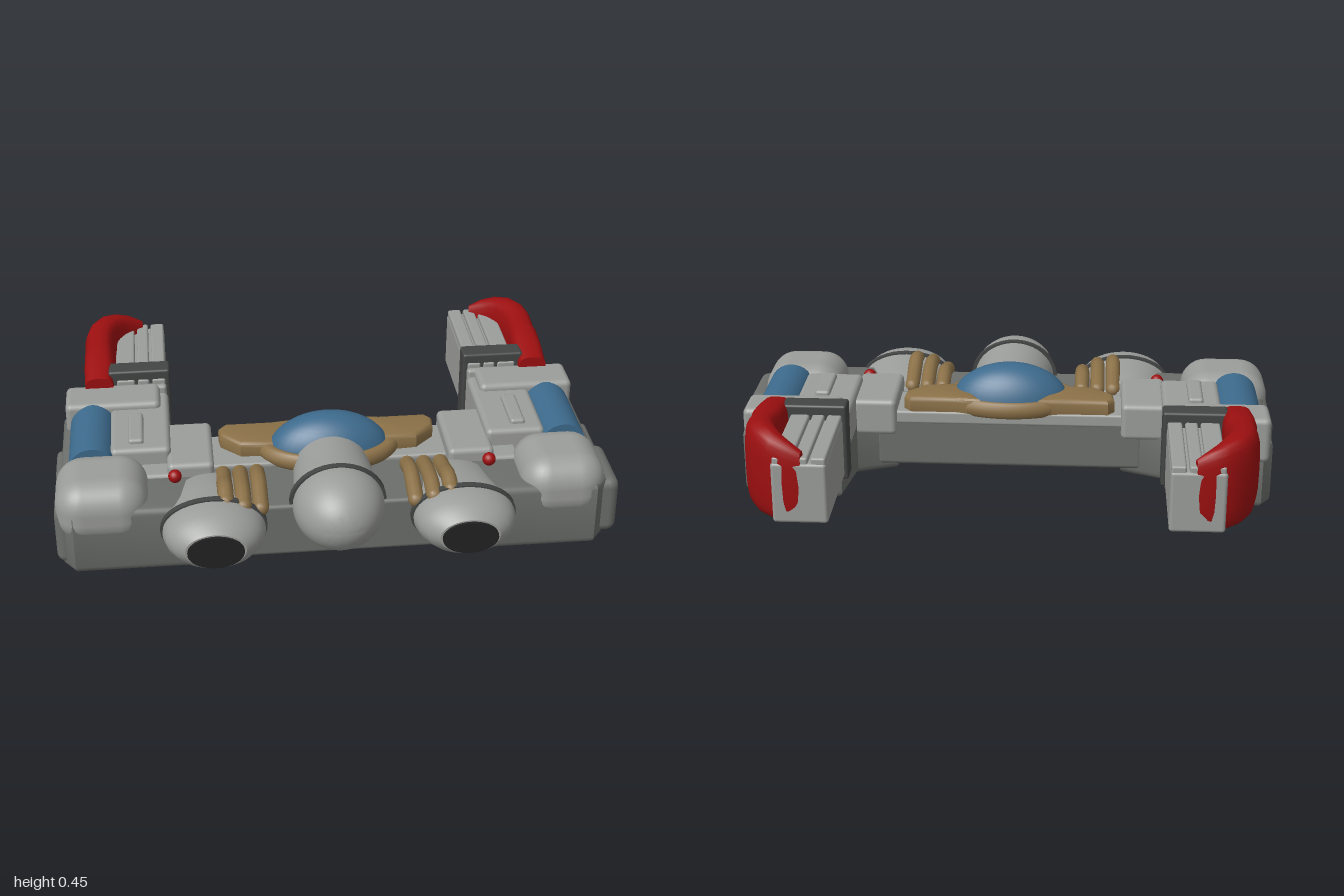
import * as THREE from 'three';
import { toCreasedNormals } from 'three/addons/utils/BufferGeometryUtils.js';
import { RoundedBoxGeometry } from 'three/addons/geometries/RoundedBoxGeometry.js';

const material = (name, color) => Object.assign(new THREE.MeshStandardMaterial({ color }), { name });
const lightGrey = material('light grey', 0x9b9d9a);
const darkGrey = material('dark grey', 0x6b6e6b);
const charcoal = material('charcoal', 0x434444);
const black = material('black', 0x222222);
const blue = material('blue', 0x3d6a8c);
const tan = material('tan', 0x8b7148);
const red = material('red', 0x9c0f10);

export function createModel() {
  const model = new THREE.Group();
  model.name = 'model';
  const root = new THREE.Group();
  root.name = 'body';
  root.position.x = -0.015;
  model.add(root);

  function add(name, geometry, mat, x = 0, y = 0, z = 0) {
    const mesh = new THREE.Mesh(geometry, mat);
    mesh.name = name;
    mesh.position.set(x, y, z);
    root.add(mesh);
    return mesh;
  }

  // Rounded box given by its limits; s mirrors it in x
  function box(name, mat, s, [x0, x1], [y0, y1], [z0, z1], r = 0.015) {
    const g = new RoundedBoxGeometry(x1 - x0, y1 - y0, z1 - z0, 4, r);
    return add(name, g, mat, s * (x0 + x1) / 2, (y0 + y1) / 2, (z0 + z1) / 2);
  }

  // Turned part along z from [radius, z] pairs
  function turned(name, mat, profile, x, y, flat = 1) {
    const g = new THREE.LatheGeometry(profile.map(p => new THREE.Vector2(...p)), 40);
    g.rotateX(Math.PI / 2).scale(1, flat, 1);
    return add(name, toCreasedNormals(g, 0.6), mat, x, y, 0);
  }

  // Bevelled slab from an x-z outline
  function slab(name, mat, s, outline, y0, y1, bevel) {
    const shape = new THREE.Shape(outline.map(([x, z]) => new THREE.Vector2(s * x, z)));
    const g = new THREE.ExtrudeGeometry(shape, {
      depth: y1 - y0 - 2 * bevel, bevelThickness: bevel, bevelSize: bevel,
      bevelOffset: -bevel, bevelSegments: 3,
    });
    g.rotateX(Math.PI / 2);
    return add(name, toCreasedNormals(g, 0.6), mat, 0, y1 - bevel, 0);
  }

  // Sweep of rounded sections along x-z, rows are [x, z, half width, bottom, top]
  function sweep(name, mat, s, rows) {
    const N = 24, pos = [], index = [];
    const soft = v => Math.sign(v) * Math.pow(Math.abs(v), 0.6);
    rows.forEach(([x, z, w, y0, y1], i) => {
      const a = rows[Math.max(i - 1, 0)], b = rows[Math.min(i + 1, rows.length - 1)];
      const t = new THREE.Vector2(s * (b[0] - a[0]), b[1] - a[1]).normalize();
      for (let j = 0; j < N; j++) {
        const q = j / N * Math.PI * 2, u = w * soft(Math.cos(q));
        pos.push(s * x - t.y * u, (y0 + y1) / 2 + (y1 - y0) / 2 * soft(Math.sin(q)), z + t.x * u);
      }
    });
    for (let i = 0; i < rows.length - 1; i++) {
      for (let j = 0; j < N; j++) {
        const a = i * N + j, b = i * N + (j + 1) % N;
        index.push(a, a + N, b, b, a + N, b + N);
      }
    }
    const last = (rows.length - 1) * N;
    for (let j = 1; j < N - 1; j++) {
      index.push(0, j, j + 1, last, last + j + 1, last + j);
    }
    const g = new THREE.BufferGeometry();
    g.setAttribute('position', new THREE.Float32BufferAttribute(pos, 3));
    g.setIndex(index);
    return add(name, toCreasedNormals(g, 0.8), mat);
  }

  // Central bar and its rear top plate
  box('centralBar', darkGrey, 1, [-0.5, 0.5], [0.03, 0.235], [0.03, 0.5]);
  box('rearTopPlate', lightGrey, 1, [-0.44, 0.44], [0.2, 0.25], [0.025, 0.235], 0.01);

  // Central capsule with ring
  const nose = [[0.135, 0.2], [0.14, 0.3], [0.15, 0.42], [0.16, 0.5]];
  for (let i = 1; i <= 12; i++) {
    const q = i / 12 * Math.PI / 2;
    nose.push([0.16 * Math.cos(q), 0.5 + 0.19 * Math.sin(q)]);
  }
  turned('centralCapsule', lightGrey, nose, 0, 0.23, 0.9);
  turned('capsuleRing', charcoal, [[0.15, 0.465], [0.17, 0.465], [0.17, 0.49], [0.15, 0.49]], 0, 0.23, 0.86);

  // Canopy dome and collar
  const dome = add('canopyDome', new THREE.SphereGeometry(1, 40, 24), blue, 0, 0.24, 0.16);
  dome.scale.set(0.225, 0.16, 0.125);
  const collar = add('canopyCollar', new THREE.TorusGeometry(0.225, 0.033, 12, 48).rotateX(Math.PI / 2), tan, 0, 0.265, 0.15);
  collar.scale.set(1, 1, 0.62);

  for (const s of [1, -1]) {
    // Collar wing
    slab('collarWing', tan, s, [[0.1, 0.02], [0.2, 0.03], [0.37, 0.03], [0.395, 0.06], [0.39, 0.11], [0.32, 0.18], [0.2, 0.19]], 0.23, 0.305, 0.018);

    // Side block with outer bumps
    slab('sideBlock', darkGrey, s, [[0.6, -0.22], [0.93, -0.22], [0.965, -0.17], [0.965, 0.44], [0.92, 0.5],
      [0.42, 0.5], [0.42, 0.06], [0.57, 0]], 0, 0.25, 0.025);
    box('outerBump', darkGrey, s, [0.85, s > 0 ? 1.013 : 0.985], [0.015, 0.235], [0.19, 0.46], 0.035);
    box('outerPanel', darkGrey, s, [0.85, 0.985], [0.03, 0.23], [0.03, 0.2], 0.02);

    // Shoulder pod and blue cylinder
    box('shoulderPod', lightGrey, s, [0.655, s > 0 ? 0.96 : 0.98], [0.1, 0.335], [0.195, 0.508], 0.1);
    const cyl = new THREE.CylinderGeometry(0.085, 0.085, 0.33, 32).rotateX(Math.PI / 2);
    add('blueCylinder', cyl, blue, s * 0.85, 0.262, 0.075);

    // Upper housings
    box('rearHousing', lightGrey, s, [0.6, 0.95], [0.18, 0.35], [-0.23, -0.07], 0.022);
    box('upperHousing', lightGrey, s, [0.57, 0.785], [0.18, 0.325], [-0.2, 0.22], 0.02);
    box('housingButton', lightGrey, s, [0.665, 0.72], [0.3, 0.342], [-0.02, 0.18], 0.012);
    box('innerHousing', lightGrey, s, [0.42, 0.585], [0.16, 0.3], [0, 0.3], 0.02);
    box('innerTread', lightGrey, s, [0.56, 0.68], [0.2, 0.262], [0.2, 0.3], 0.015);
    add('signalBall', new THREE.SphereGeometry(0.024, 16, 12), red, s * 0.56, 0.275, 0.33);

    // Rear arm with grooved top, clamp and red guard
    box('armSlab', lightGrey, s, [0.575, 0.765], [0.125, 0.345], [-0.69, -0.2], 0.012);
    for (const [x0, x1] of [[0.577, 0.628], [0.638, 0.682], [0.692, 0.76]]) {
      box('armRib', lightGrey, s, [x0, x1], [0.3, 0.365], [-0.685, -0.22], 0.008);
    }
    box('armClamp', charcoal, s, [0.56, 0.79], [0.115, 0.4], [-0.305, -0.225], 0.01);
    box('armBracket', charcoal, s, [0.7, 0.872], [0.12, 0.285], [-0.41, -0.15], 0.01);
    sweep('redGuard', red, s, [
      [0.825, -0.2, 0.053, 0.27, 0.39], [0.825, -0.3, 0.057, 0.27, 0.412], [0.825, -0.395, 0.057, 0.27, 0.428],
      [0.825, -0.41, 0.058, 0.122, 0.43], [0.825, -0.5, 0.06, 0.122, 0.441], [0.815, -0.55, 0.06, 0.122, 0.446],
      [0.79, -0.6, 0.055, 0.122, 0.445], [0.75, -0.64, 0.045, 0.122, 0.432], [0.705, -0.662, 0.033, 0.122, 0.412],
      [0.66, -0.672, 0.018, 0.128, 0.385],
    ]);

    // Oval front nozzle
    const nx = s * 0.435, ny = 0.185, flat = 0.63;
    turned('nozzleBody', lightGrey, [[0.001, 0.25], [0.1, 0.27], [0.135, 0.32], [0.15, 0.42], [0.175, 0.51], [0.178, 0.56],
      [0.165, 0.61], [0.14, 0.65], [0.105, 0.68], [0.09, 0.68]], nx, ny, flat);
    turned('nozzleRing', charcoal, [[0.16, 0.515], [0.185, 0.515], [0.185, 0.54], [0.16, 0.54]], nx, ny, flat);
    turned('nozzleMouth', black, [[0.097, 0.66], [0.097, 0.69], [0, 0.69]], nx, ny, flat);

    // Bundle of three draped hoses
    [[0.27, 0.255, 0.53], [0.33, 0.28, 0.55], [0.39, 0.295, 0.54]].forEach(([x, y, z]) => {
      const curve = new THREE.CatmullRomCurve3([
        new THREE.Vector3(s * x, 0.25, 0.29), new THREE.Vector3(s * x, 0.272, 0.38),
        new THREE.Vector3(s * x, y, 0.46), new THREE.Vector3(s * x, y - 0.015, z - 0.02),
      ]);
      add('hose', new THREE.TubeGeometry(curve, 16, 0.028, 10), tan);
      for (const p of [curve.getPoint(0), curve.getPoint(1)]) {
        add('hoseEnd', new THREE.SphereGeometry(0.028, 12, 8), tan, p.x, p.y, p.z);
      }
    });
  }
  return model;
}
